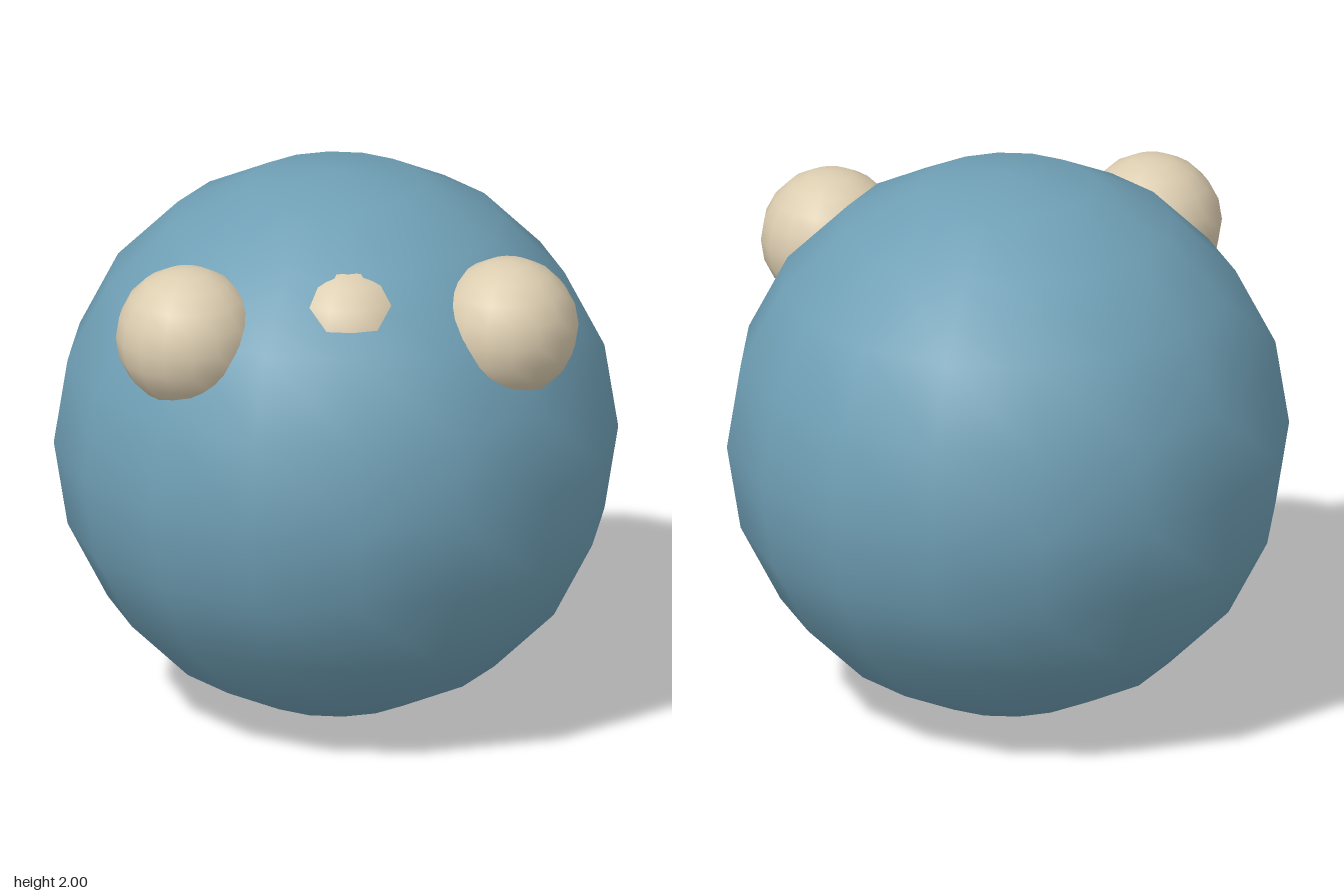
import * as THREE from 'three';

export function createModel() {
  const model = new THREE.Group();
  const blue = new THREE.MeshStandardMaterial({ color: 0x6f9fb5 });
  blue.name = 'dusty blue';
  const cream = new THREE.MeshStandardMaterial({ color: 0xdccdb0 });
  cream.name = 'cream';

  function ball(name, radius, material, x, y, z) {
    const mesh = new THREE.Mesh(new THREE.SphereGeometry(radius, 16, 10), material);
    mesh.name = name;
    mesh.position.set(x, y, z);
    model.add(mesh);
  }

  // Large round body
  ball('body', 1, blue, 0, 1, 0);

  // Two bulging knobs, and a middle one that barely breaks the surface
  ball('leftKnob', 0.25, cream, 0.57, 1.58, 0.5);
  ball('rightKnob', 0.25, cream, -0.57, 1.58, 0.5);
  ball('middleKnob', 0.25, cream, 0, 1.58, 0.5);

  return model;
}
